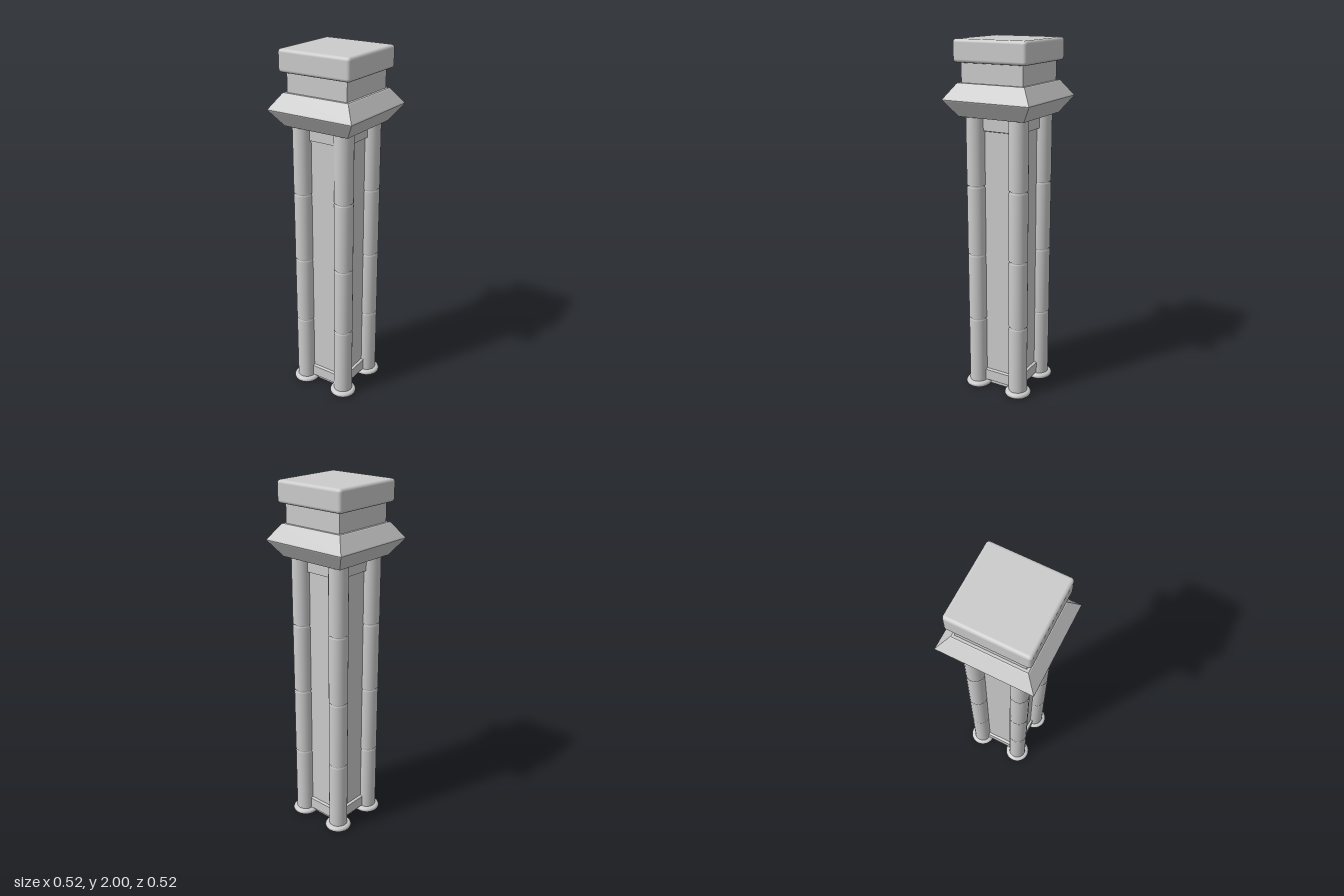
import * as THREE from 'three';
import { RoundedBoxGeometry } from 'three/addons/geometries/RoundedBoxGeometry.js';

const smooth = new THREE.MeshStandardMaterial({ color: 0xcccccc });
const flat = new THREE.MeshStandardMaterial({ color: 0xcccccc, flatShading: true });

const toPoints = (list) => list.map(([r, y]) => new THREE.Vector2(r, y));

// Square section swept up a profile of [half width, height]
function squareLathe(name, profile) {
  const points = toPoints(profile.map(([h, y]) => [h * Math.SQRT2, y]));
  const mesh = new THREE.Mesh(new THREE.LatheGeometry(points, 4, Math.PI / 4), flat);
  mesh.name = name;
  return mesh;
}

function roundLathe(name, profile) {
  const mesh = new THREE.Mesh(new THREE.LatheGeometry(toPoints(profile), 24), smooth);
  mesh.name = name;
  return mesh;
}

// Round corner column: shaft with shallow joint grooves, on a flared foot
function createColumn() {
  const column = new THREE.Group();
  const R = 0.053;
  const shaft = [[R, 0.025]];
  for (const y of [0.427, 0.82, 1.217]) {
    shaft.push([R, y - 0.007], [R - 0.005, y - 0.005], [R - 0.005, y + 0.005], [R, y + 0.007]);
  }
  shaft.push([R, 1.61]);
  column.add(roundLathe('columnShaft', shaft));
  column.add(roundLathe('columnFoot', [
    [0, 0.022], [0.045, 0.018], [0.058, 0.002], [0.066, 0], [0.073, 0.006],
    [0.076, 0.015], [0.072, 0.024], [0.064, 0.029], [0.052, 0.031],
  ]));
  return column;
}

export function createModel() {
  const model = new THREE.Group();
  model.name = 'pillar';

  // Core with recessed panels between a lower and an upper band, open underneath
  model.add(squareLathe('core', [
    [0.115, 0.005], [0.115, 0.035], [0.14, 0.037], [0.14, 0.1], [0.125, 0.105],
    [0.125, 1.52], [0.14, 1.525], [0.14, 1.61],
  ]));

  // Four corner columns
  for (const x of [-0.132, 0.132]) {
    for (const z of [-0.132, 0.132]) {
      const column = createColumn();
      column.name = `${z > 0 ? 'front' : 'back'}${x > 0 ? 'Left' : 'Right'}Column`;
      column.position.set(x, 0, z);
      model.add(column);
    }
  }

  // Flared collar and the neck above it
  model.add(squareLathe('collar', [
    [0, 1.6], [0.197, 1.6], [0.256, 1.684], [0.259, 1.69], [0.256, 1.696],
    [0.203, 1.772], [0.198, 1.776], [0, 1.776],
  ]));
  model.add(squareLathe('neck', [[0.184, 1.77], [0.184, 1.89]]));

  // Cap with softened edges
  const cap = new THREE.Mesh(new RoundedBoxGeometry(0.434, 0.12, 0.434, 4, 0.018), smooth);
  cap.name = 'cap';
  cap.position.y = 1.94;
  model.add(cap);

  return model;
}
